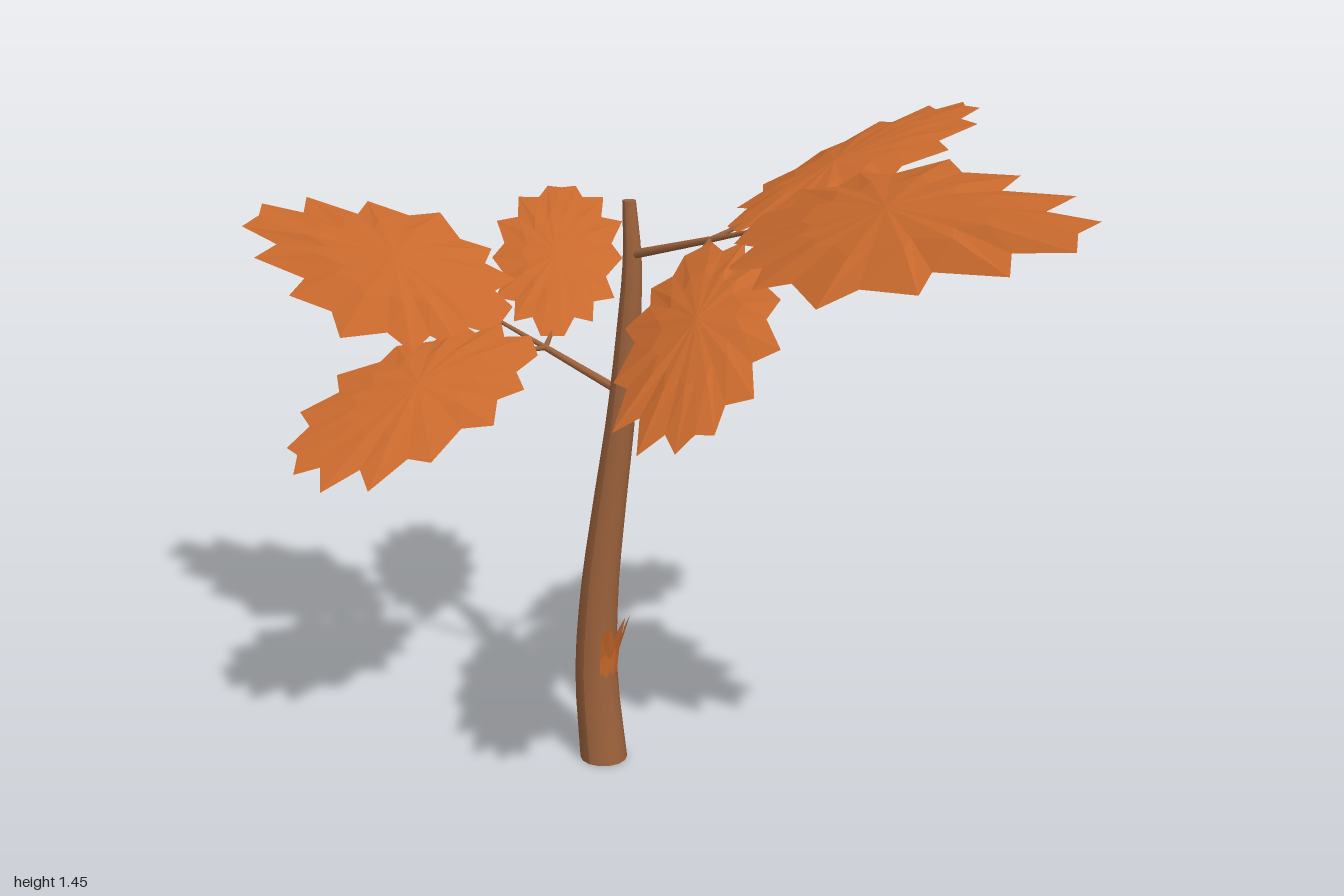
import * as THREE from 'three';

const V = (x, y, z) => new THREE.Vector3(x, y, z);
const bark = new THREE.MeshStandardMaterial({ color: 0x9c623c });
const leafOrange = new THREE.MeshStandardMaterial({ color: 0xc8692d, side: THREE.DoubleSide });
bark.name = 'bark brown';
leafOrange.name = 'leaf orange';

// Half outlines of the toothed leaves: [along, sideways] in leaf lengths
const LONG = [[0, 0.06], [0.08, 0.08], [0.05, 0.16], [0.17, 0.16], [0.19, 0.23], [0.3, 0.21], [0.43, 0.285],
  [0.51, 0.22], [0.68, 0.22], [0.67, 0.15], [0.88, 0.145], [0.84, 0.075], [1, 0.055]];
const SHORT = [[0, 0.05], [0.1, 0.09], [0.09, 0.17], [0.2, 0.17], [0.24, 0.26], [0.36, 0.22], [0.5, 0.29],
  [0.58, 0.24], [0.75, 0.285], [0.76, 0.19], [0.92, 0.195], [0.9, 0.1], [1, 0.065]];

function add(group, name, geometry, material) {
  const mesh = new THREE.Mesh(geometry, material);
  mesh.name = name;
  group.add(mesh);
}

function facets(points) {
  const g = new THREE.BufferGeometry().setFromPoints(points);
  g.computeVertexNormals();
  return g;
}

// Domed leaf fanning out from a raised hub
function leafGeometry({ base, tip, half, hub, lift, roll }) {
  const axis = tip.clone().sub(base);
  const side = V(axis.z, 0, -axis.x);
  side.y = -0.5 * side.z + roll * side.x;
  const place = (u, v, h) => base.clone().addScaledVector(axis, u).addScaledVector(side, v).add(V(0, h, 0));
  const outline = [...half, [0.97, 0], ...half.map(([u, v]) => [u, -v]).reverse()];
  const rim = outline.map(([u, v], i) => place(u, v, i % 2 ? 0.003 : -0.003));
  const ring = outline.map(([u, v]) => place(hub + (u - hub) * 0.55, v * 0.55, lift * 0.65));
  const centre = place(hub, 0, lift);
  const tris = [];
  for (let i = 0; i < rim.length; i++) {
    const j = (i + 1) % rim.length;
    tris.push(centre, ring[i], ring[j], ring[i], rim[i], rim[j], ring[i], rim[j], ring[j]);
  }
  return facets(tris);
}

// Tapered twig between two points
function twig(a, b, r0, r1) {
  const d = b.clone().sub(a);
  const g = new THREE.CylinderGeometry(r1, r0, d.length(), 7);
  g.applyQuaternion(new THREE.Quaternion().setFromUnitVectors(V(0, 1, 0), d.normalize()));
  const m = a.clone().add(b).multiplyScalar(0.5);
  return g.translate(m.x, m.y, m.z);
}

// Bark splinter peeling away from the trunk, with a jagged top
function splinter(centre, radius, angle, height, spread, peel) {
  const tops = [0.72, 0.95, 0.68, 1, 0.7, 0.9, 0.75];
  const at = (i, t) => {
    const a = angle + (i / (tops.length - 1) - 0.5) * spread;
    const r = radius + peel * t * t;
    return centre.clone().add(V(Math.cos(a) * r, height * t, Math.sin(a) * r));
  };
  const tris = [];
  for (let i = 0; i < tops.length - 1; i++) {
    for (const [s, e] of [[0, 0.5], [0.5, 1]]) {
      const a = at(i, s * tops[i]), b = at(i + 1, s * tops[i + 1]);
      const c = at(i + 1, e * tops[i + 1]), d = at(i, e * tops[i]);
      tris.push(a, d, c, a, c, b);
    }
  }
  return facets(tris);
}

export function createModel() {
  const group = new THREE.Group();

  // Curved, tapering trunk
  const spine = new THREE.CatmullRomCurve3([
    V(-0.104, 0, -0.013), V(-0.123, 0.2, -0.013), V(-0.115, 0.4, -0.016), V(-0.093, 0.6, -0.024),
    V(-0.068, 0.8, -0.032), V(-0.051, 1, -0.038), V(-0.044, 1.14, -0.04), V(-0.054, 1.26, -0.043)]);
  const trunk = new THREE.CylinderGeometry(1, 1, 1, 14, 20);
  const pos = trunk.attributes.position;
  for (let i = 0; i < pos.count; i++) {
    const t = pos.getY(i) + 0.5;
    const p = spine.getPoint(t);
    const r = 0.052 - 0.038 * t;
    pos.setXYZ(i, p.x + pos.getX(i) * r, p.y, p.z + pos.getZ(i) * r);
  }
  trunk.computeVertexNormals();
  add(group, 'trunk', trunk, bark);

  // Peeling bark
  add(group, 'lowerSplinter', splinter(V(-0.123, 0.19, -0.013), 0.044, 0, 0.16, 1.5, 0.035), leafOrange);
  add(group, 'upperSplinter', splinter(V(-0.079, 0.68, -0.028), 0.026, -2.1, 0.075, 1.2, 0.022), leafOrange);

  // Two boughs, each with one long leaf and two short ones
  const boughs = [
    {
      name: 'left', root: V(-0.046, 1.148, -0.038), fork: V(0.17, 1.215, -0.01),
      leaves: [
        { name: 'LongLeaf', base: V(0.265, 1.255, 0), tip: V(1, 1.35, 0.055), half: LONG, hub: 0.43, lift: 0.045, roll: 0 },
        { name: 'BackLeaf', base: V(0.195, 1.235, -0.05), tip: V(0.48, 1.45, -0.49), half: SHORT, hub: 0.42, lift: 0.03, roll: 0.3 },
        { name: 'FrontLeaf', base: V(0.175, 1.21, 0.04), tip: V(0.475, 0.985, 0.48), half: SHORT, hub: 0.48, lift: 0.035, roll: 0.3 },
      ],
    },
    {
      name: 'right', root: V(-0.062, 0.85, -0.033), fork: V(-0.235, 0.93, 0.01),
      leaves: [
        { name: 'LongLeaf', base: V(-0.335, 0.98, 0.03), tip: V(-1, 1.135, 0.105), half: LONG, hub: 0.42, lift: 0.04, roll: -0.2 },
        { name: 'BackLeaf', base: V(-0.24, 0.95, -0.02), tip: V(-0.53, 1.17, -0.425), half: SHORT, hub: 0.44, lift: 0.03, roll: -0.36 },
        { name: 'FrontLeaf', base: V(-0.225, 0.95, 0.06), tip: V(-0.53, 0.75, 0.485), half: SHORT, hub: 0.48, lift: 0.035, roll: -0.3 },
      ],
    },
  ];
  for (const { name, root, fork, leaves } of boughs) {
    const bough = new THREE.Group();
    bough.name = name + 'Bough';
    add(bough, name + 'Branch', twig(root, fork, 0.01, 0.007), bark);
    for (const leaf of leaves) {
      // Stalk ends just under the leaf base
      const end = leaf.base.clone().lerp(leaf.tip, 0.04).add(V(0, -0.004, 0));
      add(bough, name + leaf.name + 'Stalk', twig(fork, end, 0.006, 0.004), bark);
      add(bough, name + leaf.name, leafGeometry(leaf), leafOrange);
    }
    group.add(bough);
  }
  return group;
}
